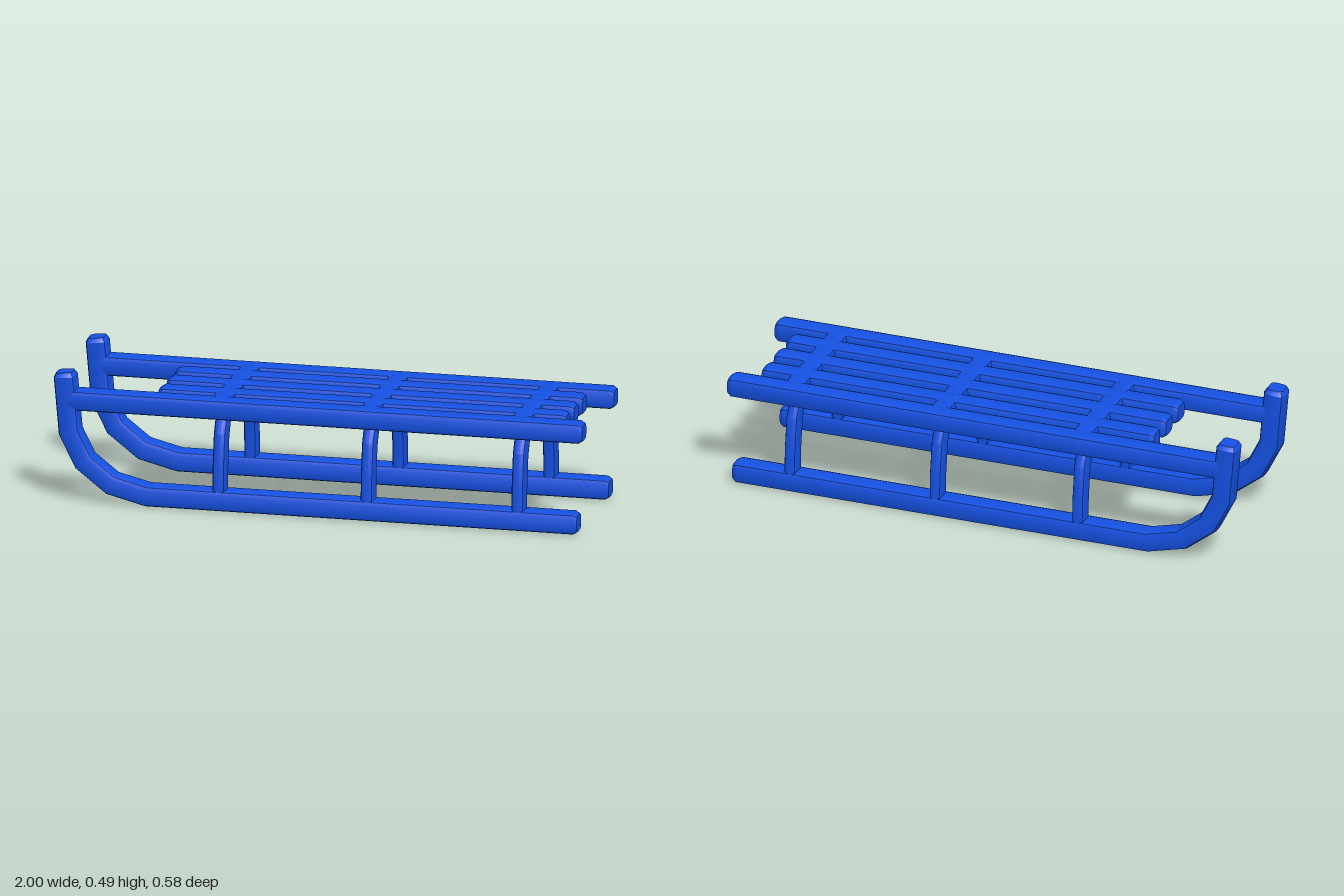
import * as THREE from 'three';
import { toCreasedNormals } from 'three/addons/utils/BufferGeometryUtils.js';

const material = new THREE.MeshStandardMaterial({ color: 0x1450e0 });
const V = (x, y, z) => new THREE.Vector3(x, y, z);

// Rounded rectangle outline, counter-clockwise, two facets per corner
function roundedSection(w, h, r) {
  const points = [];
  for (let c = 0; c < 4; c++) {
    const sx = c === 0 || c === 3 ? 1 : -1;
    const sy = c < 2 ? 1 : -1;
    for (let k = 0; k < 3; k++) {
      const a = (c + k / 2) * Math.PI / 2;
      points.push([sx * (w / 2 - r) + r * Math.cos(a), sy * (h / 2 - r) + r * Math.sin(a)]);
    }
  }
  return points;
}

// Sweeps a rounded bar along a flat path; depth runs along the constant side vector
function bar(name, path, side, thickness, depth, bevel = 0.016) {
  const section = roundedSection(thickness, depth, 0.02);
  const n = section.length;
  const positions = [], index = [];
  const last = path.length - 1;
  let rings = 0;

  const ring = (centre, normal, stretch, inset) => {
    const su = 1 - 2 * inset / thickness, sv = 1 - 2 * inset / depth;
    for (const [u, v] of section) {
      positions.push(...centre.clone().addScaledVector(normal, u * su * stretch)
        .addScaledVector(side, v * sv).toArray());
    }
    rings++;
  };

  path.forEach((p, i) => {
    const before = path[Math.max(i - 1, 0)], after = path[Math.min(i + 1, last)];
    const tIn = (i ? p.clone().sub(before) : after.clone().sub(p)).normalize();
    const tOut = (i < last ? after.clone().sub(p) : p.clone().sub(before)).normalize();
    const t = tIn.clone().add(tOut).normalize();
    const normal = side.clone().cross(t);
    if (i === 0) ring(p, normal, 1, bevel * 0.6);
    const shift = i === 0 ? bevel : i === last ? -bevel : 0;
    ring(p.clone().addScaledVector(t, shift), normal, 1 / t.dot(tIn), 0);
    if (i === last) ring(p, normal, 1, bevel * 0.6);
  });

  for (let i = 0; i < rings - 1; i++) {
    for (let j = 0; j < n; j++) {
      const a = i * n + j, b = i * n + (j + 1) % n;
      index.push(a, b, b + n, a, b + n, a + n);
    }
  }
  // End caps
  const end = (rings - 1) * n;
  for (let j = 1; j < n - 1; j++) {
    index.push(0, j + 1, j, end, end + j, end + j + 1);
  }

  const geometry = new THREE.BufferGeometry();
  geometry.setAttribute('position', new THREE.Float32BufferAttribute(positions, 3));
  geometry.setIndex(index);
  const mesh = new THREE.Mesh(toCreasedNormals(geometry, 0.45), material);
  mesh.name = name;
  return mesh;
}

export function createModel() {
  const sled = new THREE.Group();
  sled.name = 'sled';
  const X = V(1, 0, 0), Z = V(0, 0, 1);
  const deckY = 0.387;

  // Curved runners and the long side rails above them
  const runnerPath = [[0.98, 0.041], [-0.648, 0.041], [-0.782, 0.075],
    [-0.885, 0.155], [-0.94, 0.265], [-0.96, 0.49]];
  for (const [label, z] of [['left', 0.245], ['right', -0.245]]) {
    sled.add(bar(label + 'Runner', runnerPath.map(([x, y]) => V(x, y, z)), Z, 0.08, 0.086));
    sled.add(bar(label + 'Rail', [V(-0.96, deckY, z), V(1, deckY, z)], Z, 0.078, 0.086));
  }

  // Seat slats
  for (const z of [-0.125, 0, 0.125]) {
    sled.add(bar('seatSlat', [V(-0.63, deckY, z), V(0.91, deckY, z)], Z, 0.078, 0.086));
  }

  // Bent arches carrying the seat, each with a cross beam
  const half = [[0.245, 0.05], [0.242, 0.16], [0.224, 0.28], [0.195, 0.34], [0.115, 0.385]];
  const arch = [...half, ...half.map(([z, y]) => [-z, y]).reverse()];
  for (const x of [-0.375, 0.185, 0.755]) {
    sled.add(bar('supportArch', arch.map(([z, y]) => V(x, y, z)), X, 0.076, 0.05));
    sled.add(bar('crossBeam', [V(x, deckY, -0.25), V(x, deckY, 0.25)], X, 0.077, 0.082));
  }
  return sled;
}
